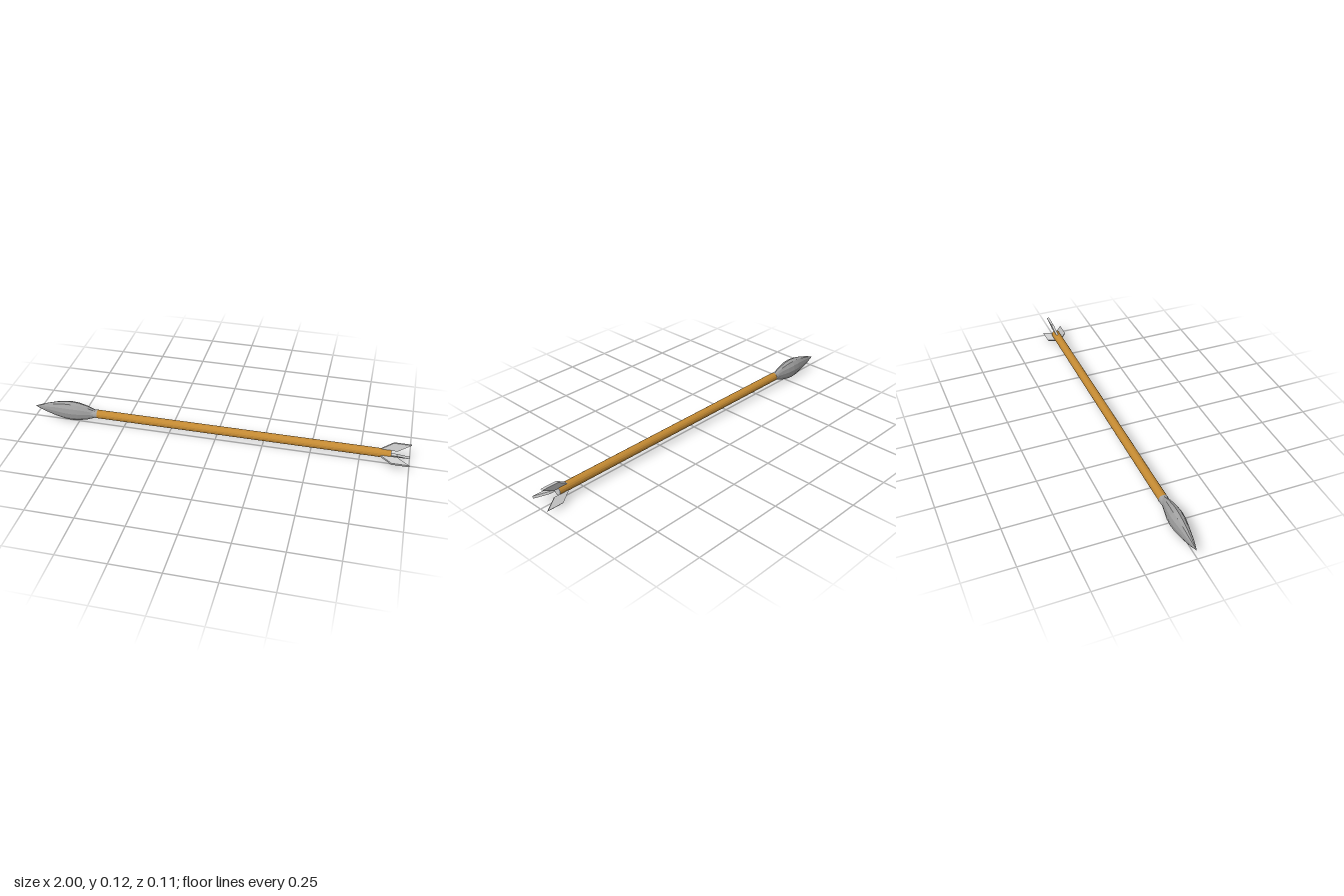
import * as THREE from 'three';

const grey = new THREE.MeshStandardMaterial({ color: 0xcccccc, flatShading: true });
const steel = new THREE.MeshStandardMaterial({ color: 0xa0a0a0, flatShading: true });
const wood = new THREE.MeshStandardMaterial({ color: 0xc48a33, flatShading: true });

const SHAFT_R = 0.023;

function addMesh(parent, name, geometry, material) {
  const mesh = new THREE.Mesh(geometry, material);
  mesh.name = name;
  parent.add(mesh);
  return mesh;
}

// Cylinder lying along x between two stations
function rod(x0, x1, r0, r1, sides) {
  return new THREE.CylinderGeometry(r1, r0, x1 - x0, sides)
    .rotateZ(-Math.PI / 2)
    .translate((x0 + x1) / 2, 0, 0);
}

// Leaf-shaped blade: a turned profile, flattened by its own z half-width at each station
function bladeGeometry() {
  const stations = [ // x, half height, half thickness
    [-1, 0, 0], [-0.95, 0.021, 0.013], [-0.88, 0.043, 0.025], [-0.83, 0.053, 0.033],
    [-0.79, 0.056, 0.036], [-0.75, 0.053, 0.033], [-0.7, 0.041, 0.024],
    [-0.665, 0.026, 0.018], [-0.65, 0.02, 0.016], [-0.65, 0, 0],
  ];
  const profile = stations.map(([x, h]) => new THREE.Vector2(h, x));
  const geometry = new THREE.LatheGeometry(profile, 12);
  const pos = geometry.attributes.position;
  for (let i = 0; i < pos.count; i++) {
    const [, h, t] = stations[i % stations.length];
    if (h > 0) pos.setZ(i, pos.getZ(i) * t / h);
  }
  return geometry.rotateZ(-Math.PI / 2);
}

// Swept-back vane, a thin slab standing on the shaft
function vaneGeometry() {
  const thickness = 0.0125;
  const outline = new THREE.Shape([
    [0.85, 0.02], [0.935, 0.02], [1, 0.062], [0.912, 0.062],
  ].map(([x, y]) => new THREE.Vector2(x, y)));
  return new THREE.ExtrudeGeometry(outline, { depth: thickness, bevelEnabled: false })
    .translate(0, 0, -thickness / 2);
}

export function createModel() {
  const arrow = new THREE.Group();
  arrow.name = 'arrow';
  arrow.position.set(0, 0.056, -0.007);

  // Shaft with its pale end face
  const shaft = addMesh(arrow, 'shaft', rod(-0.65, 0.904, SHAFT_R, SHAFT_R, 16), wood);
  shaft.geometry.clearGroups();
  addMesh(arrow, 'shaftEnd', rod(0.904, 0.906, SHAFT_R, SHAFT_R, 16), grey);

  // Head: blade and the socket that grips the shaft
  const head = new THREE.Group();
  head.name = 'head';
  addMesh(head, 'blade', bladeGeometry(), steel);
  addMesh(head, 'socket', rod(-0.72, -0.645, 0.018, SHAFT_R + 0.0005, 16), steel);
  arrow.add(head);

  // Three vanes evenly spaced around the tail
  const vane = vaneGeometry();
  for (let i = 0; i < 3; i++) {
    const mesh = addMesh(arrow, `vane${i + 1}`, vane, grey);
    mesh.rotation.x = -THREE.MathUtils.degToRad(13.5 + i * 120);
  }

  const model = new THREE.Group();
  model.name = 'model';
  model.add(arrow);
  return model;
}
